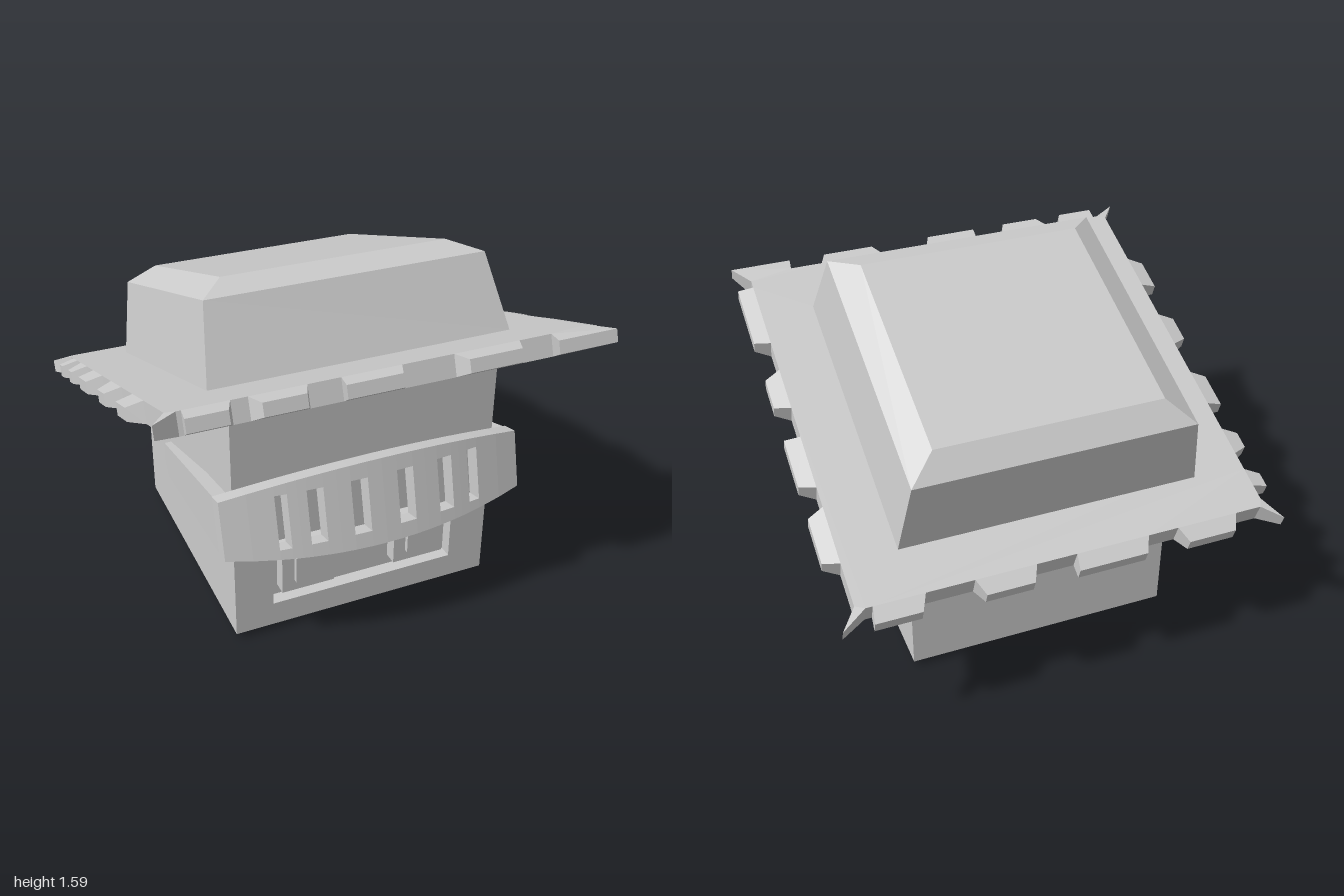
import * as THREE from 'three';

const material = new THREE.MeshStandardMaterial({ color: 0xcccccc, flatShading: true, side: THREE.DoubleSide });

function add(parent, name, geometry) {
  const mesh = new THREE.Mesh(geometry, material);
  mesh.name = name;
  parent.add(mesh);
  return mesh;
}

// Box given by its lower and upper corners
function block(parent, name, [x0, y0, z0], [x1, y1, z1]) {
  const mesh = add(parent, name, new THREE.BoxGeometry(x1 - x0, y1 - y0, z1 - z0));
  mesh.position.set((x0 + x1) / 2, (y0 + y1) / 2, (z0 + z1) / 2);
}

// Moves every vertex by a rule
function warp(geometry, rule) {
  const p = geometry.attributes.position;
  for (let i = 0; i < p.count; i++) p.setXYZ(i, ...rule(p.getX(i), p.getY(i), p.getZ(i)));
  geometry.computeVertexNormals();
  return geometry;
}

function rectPoints(x0, y0, x1, y1) {
  return [[x0, y0], [x1, y0], [x1, y1], [x0, y1]].map(([x, y]) => new THREE.Vector2(x, y));
}

function createHead() {
  const head = new THREE.Group();
  head.name = 'head';
  block(head, 'base', [-0.54, 0, -0.49], [0.54, 0.03, 0.6]);
  block(head, 'headBlock', [-0.61, 0.03, -0.56], [0.61, 1.13, 0.6]);
  // front plate with a recessed face panel
  const plate = new THREE.Shape(rectPoints(-0.61, 0.03, 0.61, 1.13));
  plate.holes.push(new THREE.Path(rectPoints(-0.435, 0.145, 0.435, 0.49)));
  add(head, 'frontPlate', new THREE.ExtrudeGeometry(plate, { depth: 0.06, bevelEnabled: false })).position.z = 0.6;
  // stepped square eyes
  for (const s of [-1, 1]) {
    const x = s * 0.27;
    block(head, 'eyeFrame', [x - 0.123, 0.195, 0.59], [x + 0.123, 0.435, 0.664]);
    block(head, 'eye', [x - 0.066, 0.25, 0.6], [x + 0.066, 0.38, 0.686]);
  }
  return head;
}

function createVisor() {
  const visor = new THREE.Group();
  visor.name = 'visor';
  visor.position.set(0, 0.695, 0.84);
  visor.rotation.x = -0.245;

  // bowed plate, taller in the middle, made of columns; slot columns stay open in between
  const W = 0.69, thickness = 0.08, slotHalf = 0.12;
  const halfHeight = x => 0.19 - 0.06 * (x / W) ** 2;
  const column = (x0, x1, low, high) => {
    add(visor, 'visorPlate', warp(new THREE.BoxGeometry(1, 1, 1), (u, v, w) => {
      const x = u < 0 ? x0 : x1;
      const y = v < 0 ? low(x) : high(x);
      return [x, y, -0.09 * (x / W) ** 2 + (w < 0 ? -thickness : 0)];
    }));
  };
  const bottom = x => -halfHeight(x), top = halfHeight;
  const slots = [[-0.467, -0.415], [-0.333, -0.262], [-0.143, -0.067], [0.067, 0.143], [0.262, 0.333], [0.415, 0.467]];
  let x = -W;
  for (const [a, b] of slots) {
    const mid = (x + a) / 2;
    column(x, mid, bottom, top);
    column(mid, a, bottom, top);
    column(a, b, bottom, () => -slotHalf);
    column(a, b, () => slotHalf, top);
    x = b;
  }
  column(x, (x + W) / 2, bottom, top);
  column((x + W) / 2, W, bottom, top);

  // side arms, tapering back and leaning in towards the head
  const outline = [[-0.09, 0.13], [-1.05, 0.087], [-1.087, 0], [-1.05, -0.083], [-0.1, -0.133]];
  for (const s of [-1, 1]) {
    const shape = new THREE.Shape(outline.map(([z, y]) => new THREE.Vector2(-z, y)));
    const arm = new THREE.ExtrudeGeometry(shape, { depth: 0.06, bevelEnabled: false });
    arm.rotateY(Math.PI / 2);
    add(visor, 'visorArm', warp(arm, (ax, y, z) => [ax - 0.03 + s * (0.66 + 0.05 * (z + 0.09)), y, z]));
  }
  return visor;
}

function createHat() {
  const hat = new THREE.Group();
  hat.name = 'hat';
  hat.position.set(0, 1.03, 0);
  hat.rotation.set(-0.352, 0, -0.007);

  // ragged brim: uneven teeth on the front, left, back and right edges in turn
  const R = 0.92;
  const sides = [
    [[-0.86, -0.67], [-0.6, -0.36], [-0.22, 0.04], [0.27, 0.57], [0.72, 1]],
    [[-0.84, -0.49], [-0.33, -0.11], [0.05, 0.32], [0.42, 0.7]],
    [[-0.85, -0.63], [-0.42, -0.15], [0.03, 0.36], [0.5, 0.78]],
    [[-0.81, -0.72], [-0.63, -0.49], [-0.34, -0.15], [0.03, 0.22], [0.42, 0.6]],
  ];
  const points = [];
  sides.forEach((teeth, k) => {
    const put = (t, r) => points.push(
      new THREE.Vector2(t, -r).rotateAround(new THREE.Vector2(), k * Math.PI / 2));
    put(-0.99, 0.99);
    put(-0.88, R);
    teeth.forEach(([a, b], i) => {
      const lean = i % 2 ? 0.03 : -0.01;
      put(a, R);
      put(a + lean, 0.99);
      if (b === 1) return;
      put(b - 0.03, 0.99);
      put(b, R);
    });
    if (teeth[teeth.length - 1][1] !== 1) put(0.9, R);
  });
  const shape = new THREE.Shape(points);
  shape.holes.push(new THREE.Path(rectPoints(-0.64, -0.63, 0.64, 0.66)));
  const brim = new THREE.ExtrudeGeometry(shape, { depth: 0.095, bevelEnabled: false });
  brim.rotateX(-Math.PI / 2);
  // tooth tips are thinner than the brim
  add(hat, 'brim', warp(brim, (x, y, z) => {
    const tip = Math.max(Math.abs(x), Math.abs(z)) > 0.95;
    return [x, (y - 0.0475) * (tip ? 0.6 : 1) - 0.0475, z];
  }));

  // four-sided crown with a bevelled top
  const profile = [[0.68, 0], [0.628, 0.343], [0.51, 0.41], [0, 0.41]];
  const crown = new THREE.LatheGeometry(
    profile.map(([r, y]) => new THREE.Vector2(r * Math.SQRT2, y)), 4, Math.PI / 4);
  add(hat, 'crown', crown).position.z = -0.02;
  return hat;
}

export function createModel() {
  const model = new THREE.Group();
  model.name = 'hattedHead';
  model.add(createHead(), createVisor(), createHat());
  return model;
}
